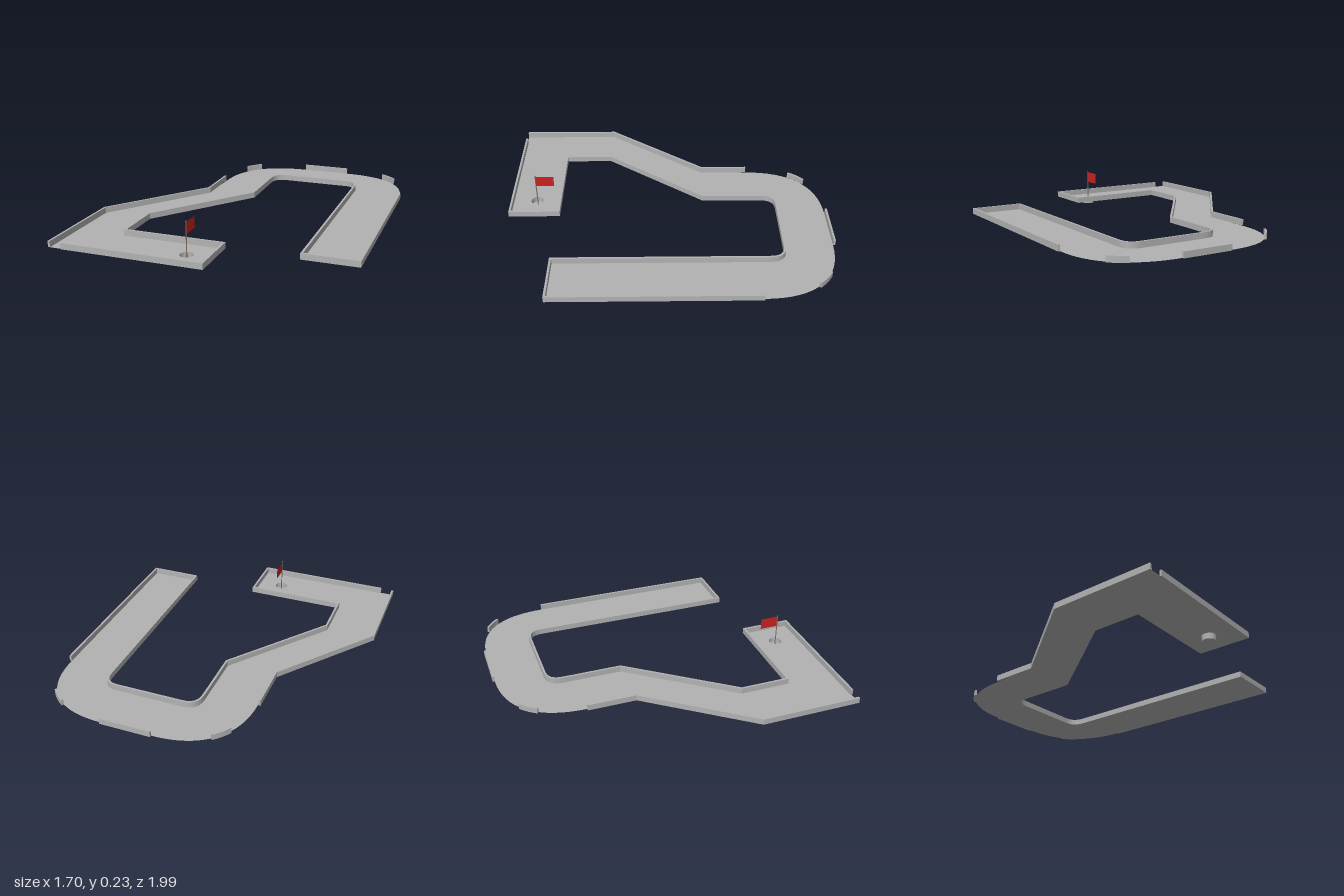
import * as THREE from 'three';

const FLOOR_Y = 0.035, WALL_H = 0.036, WALL_T = 0.013;
const CUP = { x: -0.08, z: 0.83, r: 0.04 };
const v = (x, z) => new THREE.Vector2(x, z);

// Rounded corner: heads from a towards the corner, then on to b.
function corner(a, c, b, k, t0 = 0, t1 = 1, steps = 16) {
  const curve = new THREE.CubicBezierCurve(a, a.clone().lerp(c, k), b.clone().lerp(c, k), b);
  return Array.from({ length: steps + 1 }, (_, i) => curve.getPoint(t0 + (t1 - t0) * i / steps));
}

// Mitred offset of an open plan path.
function offset(path, d) {
  const normal = (a, b) => { const e = b.clone().sub(a).normalize(); return v(e.y, -e.x); };
  return path.map((p, i) => {
    const n1 = normal(path[Math.max(i - 1, 0)], path[Math.max(i, 1)]);
    const last = path.length - 1;
    const n2 = normal(path[Math.min(i, last - 1)], path[Math.min(i + 1, last)]);
    const m = n1.clone().add(n2).multiplyScalar(d / (1 + n1.dot(n2)));
    return p.clone().add(m);
  });
}

const planShape = pts => new THREE.Shape(pts.map(p => v(p.x, -p.y)));

export function createModel() {
  const group = new THREE.Group();
  const grey = new THREE.MeshStandardMaterial({ color: 0xb2b2b2, side: THREE.DoubleSide });
  grey.name = 'course grey';
  const red = new THREE.MeshStandardMaterial({ color: 0xcc2222, side: THREE.DoubleSide });
  red.name = 'flag red';
  const brown = new THREE.MeshStandardMaterial({ color: 0x80705f });
  brown.name = 'pole brown';

  const add = (name, geo, mat, x = 0, y = 0, z = 0) => {
    const mesh = new THREE.Mesh(geo, mat);
    mesh.name = name;
    mesh.position.set(x, y, z);
    group.add(mesh);
  };
  const addWall = (name, path, d) => {
    const geo = new THREE.ExtrudeGeometry(planShape([...path, ...offset(path, d).reverse()]),
      { depth: WALL_H, bevelEnabled: false });
    add(name, geo.rotateX(-Math.PI / 2), grey, 0, FLOOR_Y, 0);
  };

  // Large outer bends and small inner bends of the lane
  const bendLeft = [v(-0.38, -0.53), v(-0.38, -0.987), v(0.07, -0.987), 0.65];
  const bendRight = [v(0.38, -0.987), v(0.833, -0.987), v(0.833, -0.53), 0.65];
  const inner = [
    v(0.515, 0.69),
    ...corner(v(0.515, -0.59), v(0.515, -0.683), v(0.43, -0.683), 0.7, 0, 1, 8),
    ...corner(v(0.02, -0.683), v(-0.067, -0.683), v(-0.067, -0.59), 0.7, 0, 1, 8),
    v(-0.067, -0.23), v(-0.527, 0.38), v(-0.527, 0.672), v(0.083, 0.672), v(0.083, 0.992),
  ];

  // Flat lane floor with the hole cut out
  const floor = planShape([
    v(0.843, 0.69), ...inner, v(-0.845, 0.985), v(-0.845, 0.37), v(-0.388, -0.23),
    ...corner(...bendLeft), ...corner(...bendRight),
  ]);
  const hole = new THREE.Path();
  hole.absarc(CUP.x, -CUP.z, CUP.r, 0, Math.PI * 2, true);
  floor.holes.push(hole);
  add('laneFloor', new THREE.ShapeGeometry(floor, 24).rotateX(-Math.PI / 2), grey, 0, FLOOR_Y, 0);

  // Border walls, with gaps around the outer bends
  addWall('mainWall', [v(0.845, -0.53), v(0.845, 0.69), ...inner, v(-0.765, 0.992)], -WALL_T);
  addWall('leftOuterWall', [v(-0.85, 0.985), v(-0.85, 0.368), v(-0.396, -0.235), v(-0.396, -0.53)], -WALL_T);
  addWall('backWall', [v(0.07, -1), v(0.38, -1)], -WALL_T);
  addWall('leftBendWall', corner(...bendLeft, 0.37, 0.55, 6), WALL_T);
  addWall('rightBendWall', corner(...bendRight, 0.37, 0.55, 6), WALL_T);

  // Cup under the hole
  add('cupSide', new THREE.CylinderGeometry(CUP.r, CUP.r, FLOOR_Y, 32, 1, true), grey, CUP.x, FLOOR_Y / 2, CUP.z);
  add('cupBottom', new THREE.CircleGeometry(CUP.r, 32).rotateX(Math.PI / 2), grey, CUP.x, 0, CUP.z);

  // Flag and pole
  add('flagPole', new THREE.CylinderGeometry(0.003, 0.003, 0.23, 10), brown, CUP.x, 0.115, CUP.z);
  add('flag', new THREE.PlaneGeometry(0.115, 0.07).rotateY(Math.PI / 2), red, CUP.x, 0.186, CUP.z - 0.0575);

  return group;
}
